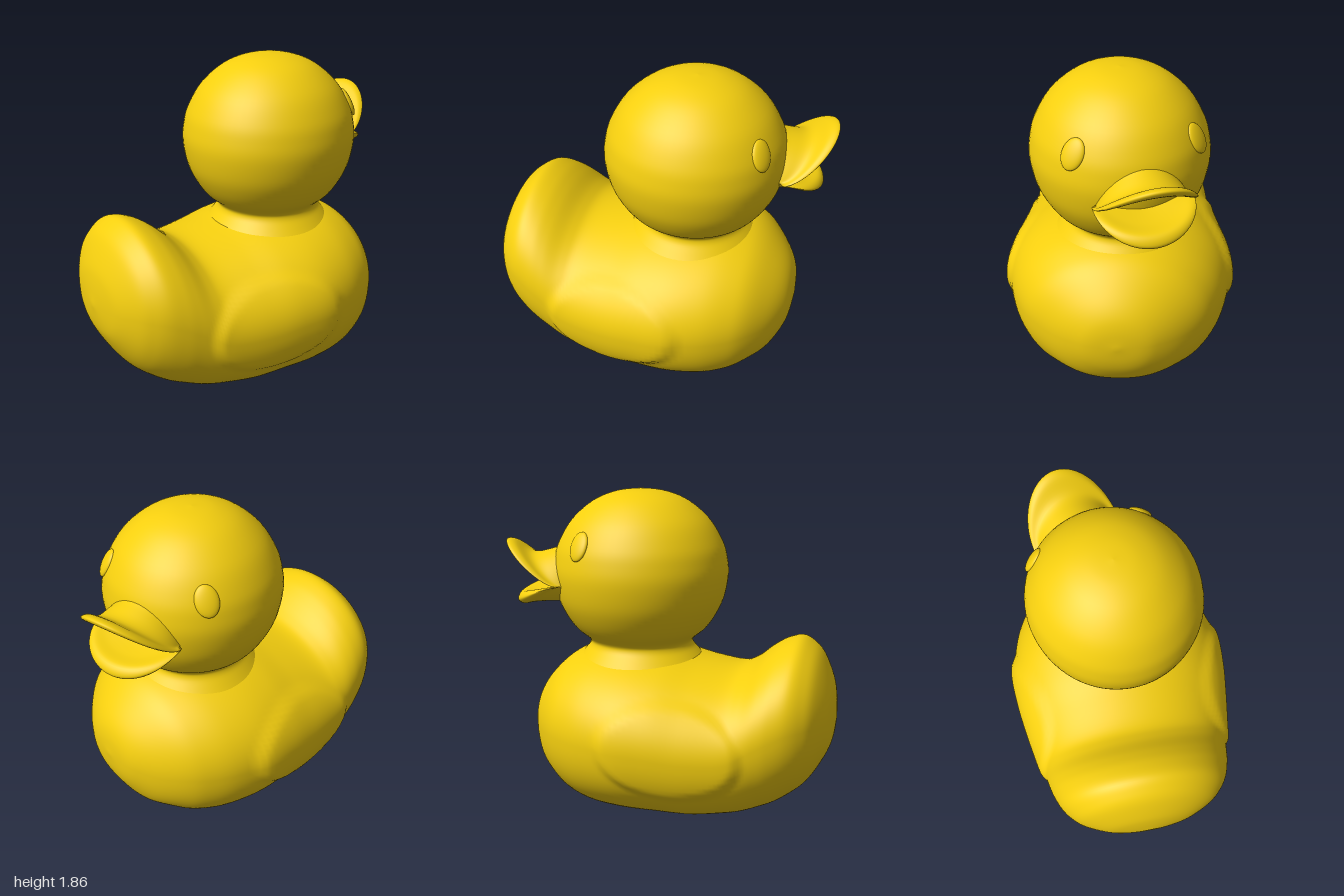
import * as THREE from 'three';
import { mergeVertices } from 'three/addons/utils/BufferGeometryUtils.js';

const yellow = new THREE.MeshStandardMaterial({ color: 0xf5cf0f });
const HEAD_X = 0.21;
const HEAD_TURN = THREE.MathUtils.degToRad(16);

function part(name, geometry) {
  const mesh = new THREE.Mesh(geometry, yellow);
  mesh.name = name;
  return mesh;
}

// Smooth skin over rings: at(u, angle) gives a point, u in 0..1
function loft(rings, sides, at) {
  const pos = [], index = [];
  for (let i = 0; i <= rings; i++) {
    for (let j = 0; j < sides; j++) {
      pos.push(...at(i / rings, (j / sides) * Math.PI * 2).toArray());
    }
  }
  for (let i = 0; i < rings; i++) {
    for (let j = 0; j < sides; j++) {
      const k = (j + 1) % sides;
      const a = i * sides + j, b = a + sides, c = i * sides + k, d = c + sides;
      index.push(a, b, c, b, d, c);
    }
  }
  let geometry = new THREE.BufferGeometry();
  geometry.setAttribute('position', new THREE.Float32BufferAttribute(pos, 3));
  geometry.setIndex(index);
  geometry = mergeVertices(geometry);
  geometry.computeVertexNormals();
  return geometry;
}

const spline = (points) => new THREE.CatmullRomCurve3(points, false, 'catmullrom', 0.5);

// Body stations from tail to chest: x, bottom, top, half width
const stations = [
  [-1, 0.55, 0.55, 0], [-0.985, 0.43, 0.69, 0.15], [-0.96, 0.35, 0.79, 0.27],
  [-0.9, 0.24, 0.92, 0.4], [-0.84, 0.16, 0.985, 0.47], [-0.77, 0.1, 1.02, 0.52],
  [-0.68, 0.04, 0.995, 0.555], [-0.6, 0.005, 0.945, 0.575], [-0.5, -0.03, 0.865, 0.595],
  [-0.4, -0.05, 0.83, 0.615], [-0.2, -0.08, 0.855, 0.65], [0, -0.08, 0.9, 0.675],
  [0.2, -0.08, 0.92, 0.68], [0.4, -0.07, 0.915, 0.635], [0.55, -0.03, 0.88, 0.565],
  [0.65, 0.03, 0.83, 0.49], [0.75, 0.1, 0.74, 0.37], [0.82, 0.21, 0.65, 0.25],
  [0.855, 0.31, 0.56, 0.15], [0.87, 0.44, 0.44, 0],
];

function bodyGeometry() {
  const heights = spline(stations.map(([x, lo, hi]) => new THREE.Vector3(x, lo, hi)));
  const widths = spline(stations.map(([x, , , w]) => new THREE.Vector3(x, w, 0)));
  return loft(114, 112, (u, a) => {
    const { x, y: lo, z: hi } = heights.getPoint(u);
    const w = Math.max(0, widths.getPoint(u).y);
    const mid = lo + (hi - lo) * 0.52;
    const s = Math.sin(a), c = Math.cos(a);
    // Rounder above, boxier below, cut flat where it stands
    const p = s < 0 ? 2 / 2.3 : 1;
    const sy = Math.sign(s) * Math.abs(s) ** p;
    const y = Math.max(0, mid + sy * (s > 0 ? hi - mid : mid - lo));
    let z = w * Math.sign(c) * Math.abs(c) ** p;
    // Raised wing on each flank
    const edge = ((x + 0.13) / 0.42) ** 2 + ((y - 0.45 - 0.06 * x) / 0.275) ** 2;
    z += Math.sign(z) * 0.025 * THREE.MathUtils.smoothstep(1.08 - edge, 0, 0.35);
    return new THREE.Vector3(x, y, z);
  });
}

// Head and neck in one turned profile
function headGeometry() {
  const profile = [
    [0.44, 0.78], [0.36, 0.87], [0.318, 0.925], [0.325, 0.965], [0.4, 1.03], [0.462, 1.12],
    [0.505, 1.22], [0.528, 1.35], [0.52, 1.45], [0.49, 1.55], [0.41, 1.68],
    [0.28, 1.79], [0.14, 1.845], [0, 1.86],
  ];
  const curve = new THREE.SplineCurve(profile.map(([r, y]) => new THREE.Vector2(r, y)));
  const points = curve.getPoints(64);
  points[64].x = 0;
  const geometry = new THREE.LatheGeometry(points, 72);
  geometry.scale(1, 1, 0.965);
  return geometry;
}

// Open bill: half width, corner reach, extra reach above/below, height above/below
const billRings = [
  [0.22, 0.38, 0.05, 0.05, 0.23, 0.13],
  [0.24, 0.44, 0.1, 0.1, 0.19, 0.125],
  [0.25, 0.465, 0.19, 0.18, 0.175, 0.13],
  [0.27, 0.475, 0.28, 0.24, 0.245, 0.14],
  [0.275, 0.49, 0.315, 0.26, 0.25, 0.11],
  [0.25, 0.485, 0.295, 0.235, 0.205, 0.06],
  [0.2, 0.46, 0.2, 0.17, 0.13, 0.05],
  [0.1, 0.43, 0.1, 0.1, 0.07, 0.03],
  [0, 0.43, 0, 0, 0, 0],
];

function billGeometry() {
  return loft(48, 72, (u, a) => {
    const s = Math.sin(a), c = Math.cos(a), t = Math.abs(s);
    const curve = spline(billRings.map(([w, reach, up, down, high, low]) => new THREE.Vector3(
      reach + (s > 0 ? up : down) * t ** 0.9,
      1.31 + (s > 0 ? high : -low) * t ** 1.3,
      w * c,
    )));
    return curve.getPoint(u);
  });
}

// Slightly domed oval eye, side = 1 or -1
function eye(side) {
  const geometry = new THREE.SphereGeometry(1, 32, 20);
  geometry.scale(0.025, 0.09, 0.066);
  geometry.rotateX(-side * 0.2);
  geometry.rotateZ(0.45);
  const angle = side * THREE.MathUtils.degToRad(45);
  geometry.rotateY(-angle);
  const mesh = part(side > 0 ? 'eyeNear' : 'eyeFar', geometry);
  mesh.position.set(Math.cos(angle) * 0.475, 1.555, Math.sin(angle) * 0.475);
  return mesh;
}

export function createModel() {
  const duck = new THREE.Group();
  duck.name = 'bathDuck';
  duck.add(part('body', bodyGeometry()));

  // Head turned a little to one side
  const head = new THREE.Group();
  head.name = 'headGroup';
  head.position.x = HEAD_X;
  head.rotation.y = HEAD_TURN;
  head.add(part('head', headGeometry()), part('bill', billGeometry()), eye(1), eye(-1));
  duck.add(head);
  return duck;
}
